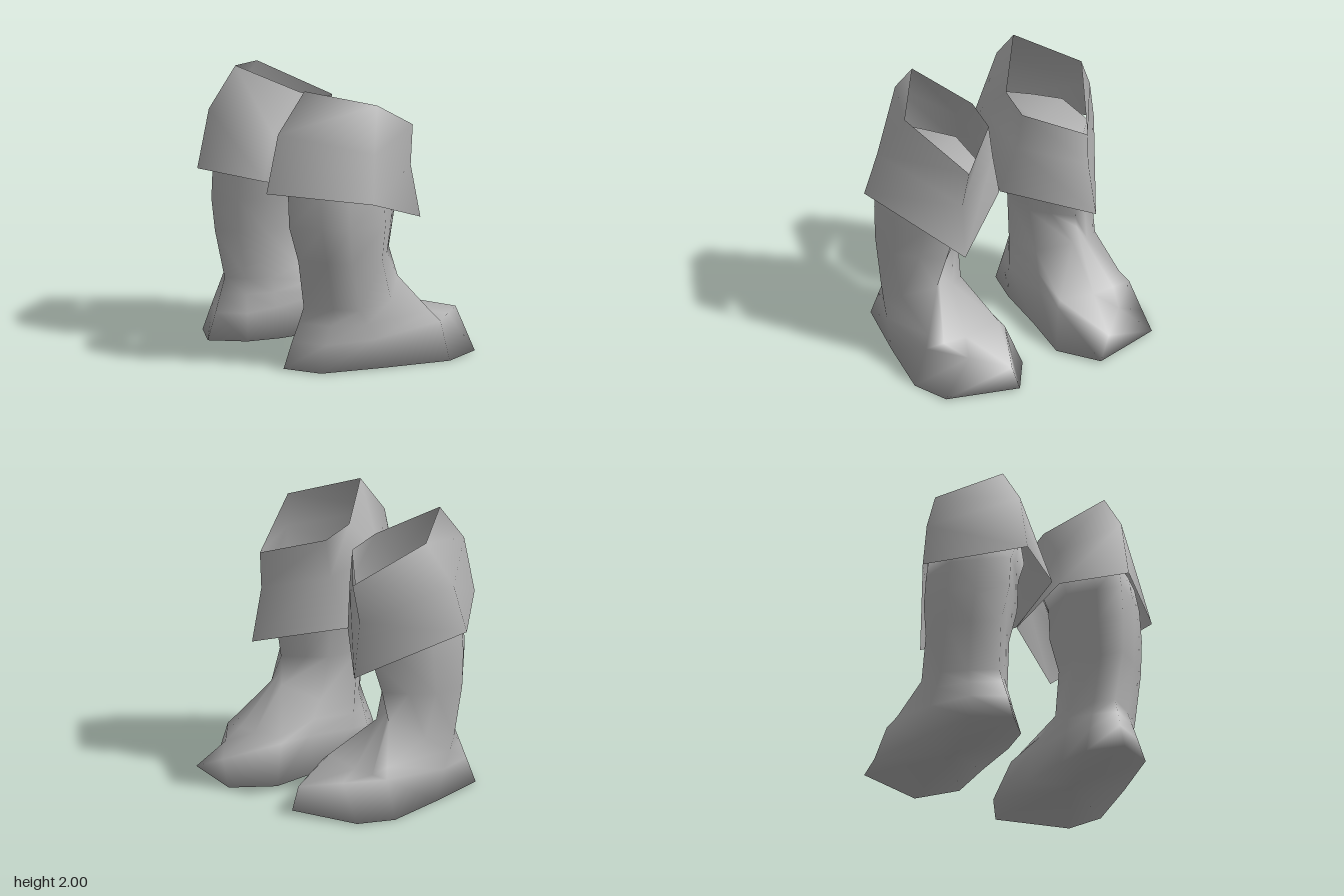
import * as THREE from 'three';

const grey = new THREE.MeshStandardMaterial({ color: 0xb0b0b0, side: THREE.DoubleSide });
grey.name = 'grey leather';

// Smooth skin over stacked rings of [x, y, z]; side = -1 mirrors it across z.
function loft(rings, side, capped) {
  const n = rings[0].length, pos = [], idx = [];
  const tri = (a, b, c) => (side > 0 ? idx.push(a, b, c) : idx.push(a, c, b));
  rings.forEach(r => r.forEach(([x, y, z]) => pos.push(x, y, z * side)));
  for (let k = 0; k < rings.length - 1; k++) {
    for (let i = 0; i < n; i++) {
      const j = (i + 1) % n, a = k * n + i, b = k * n + j;
      tri(a, b, b + n);
      tri(a, b + n, a + n);
    }
  }
  if (capped) {
    [0, rings.length - 1].forEach(k => {
      const c = [0, 1, 2].map(d => rings[k].reduce((s, p) => s + p[d], 0) / n);
      const centre = pos.length / 3;
      pos.push(c[0], c[1], c[2] * side);
      for (let i = 0; i < n; i++) {
        const a = k * n + i, b = k * n + (i + 1) % n;
        if (k === 0) tri(centre, b, a); else tri(centre, a, b);
      }
    });
  }
  const g = new THREE.BufferGeometry();
  g.setAttribute('position', new THREE.Float32BufferAttribute(pos, 3));
  g.setIndex(idx);
  g.computeVertexNormals();
  return g;
}

// Foot rings run from the heel along the outer side to the toe and back.
const sole = [[-.71, .01, .46], [-.57, .01, .72], [-.09, .005, .84], [.39, 0, .94], [.67, .01, .85],
  [.825, .015, .335], [.54, .01, .14], [.15, .005, .19], [-.25, .005, .22], [-.5, .01, .27]];
const upper = [[-.64, .2, .465], [-.505, .2, .695], [-.18, .22, .825], [.38, .27, .84], [.6, .24, .62],
  [.825, .21, .4], [.43, .28, .22], [.15, .27, .235], [-.27, .23, .24], [-.47, .2, .315]];
const instep = [[-.59, .33, .475], [-.46, .33, .675], [-.24, .34, .815], [.33, .34, .79], [.39, .275, .7],
  [.405, .28, .53], [.4, .32, .255], [.08, .37, .27], [-.285, .34, .25], [-.455, .33, .345]];
const ankle = [[-.55, .44, .48], [-.42, .44, .66], [-.29, .44, .805], [-.02, .48, .8], [.165, .59, .62],
  [.11, .67, .57], [.175, .59, .5], [-.02, .48, .31], [-.3, .44, .26], [-.44, .44, .37]];

// Shaft outline as fractions of its length and width, pointed at front and back
const outline = [[0, .43], [.17, .74], [.33, .98], [.66, 1], [.84, .75],
  [1, .48], [.84, .25], [.69, .05], [.36, 0], [.16, .23]];
// Shaft rings: y, back x, front x, inner z, outer z
const shaft = [[.79, -.615, .15, .27, .82], [1.04, -.67, .22, .21, .82],
  [1.27, -.67, .22, .2, .8], [1.42, -.7, .28, .15, .76]]
  .map(([y, x0, x1, z0, z1]) => outline.map(([u, v]) => [x0 + (x1 - x0) * u, y, z0 + (z1 - z0) * v]));

// Five-cornered flared cuff: hem, middle and slanted rim
const cuff = [
  [[-.83, 1.3, .42], [-.28, 1.25, .95], [.42, .96, .54], [0, 1.1, .003], [-.53, 1.24, .03]],
  [[-.73, 1.72, .42], [-.22, 1.59, .88], [.35, 1.35, .52], [.07, 1.47, .1], [-.4, 1.55, .1]],
  [[-.5, 2, .42], [-.09, 1.9, .73], [.39, 1.63, .49], [.08, 1.74, .14], [-.14, 1.81, .14]],
];

export function createModel() {
  const model = new THREE.Group();
  model.name = 'pair of boots';
  for (const side of [1, -1]) {
    const boot = new THREE.Group();
    boot.name = side > 0 ? 'frontBoot' : 'rearBoot';
    const body = new THREE.Mesh(loft([sole, upper, instep, ankle, ...shaft], side, true), grey);
    body.name = 'footAndShaft';
    const top = new THREE.Mesh(loft(cuff, side, false), grey);
    top.name = 'cuff';
    boot.add(body, top);
    model.add(boot);
  }
  return model;
}
